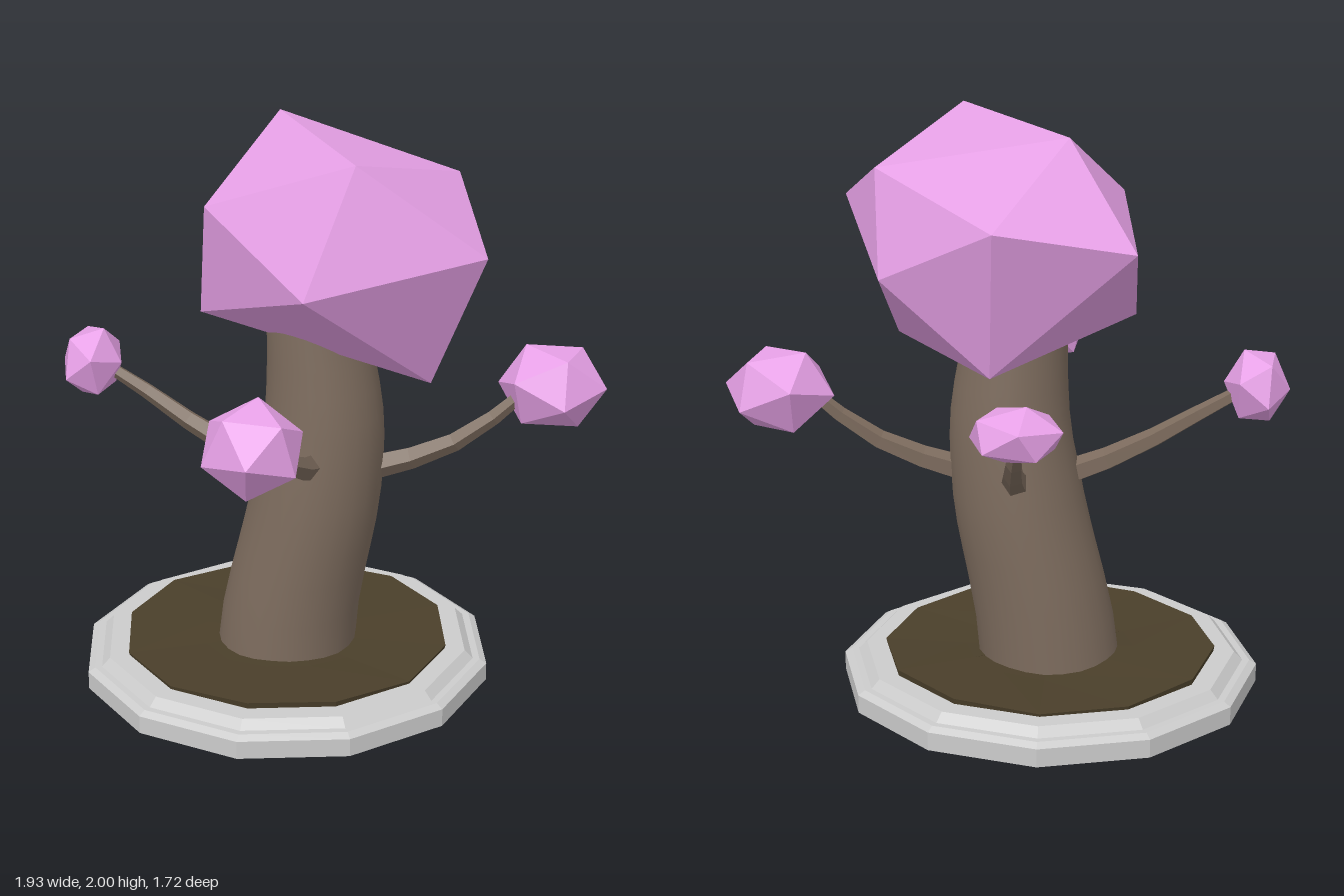
import * as THREE from 'three';
import { mergeVertices } from 'three/addons/utils/BufferGeometryUtils.js';

const BASE_X = -0.15, BASE_Z = -0.035;
const flat = (color) => new THREE.MeshStandardMaterial({ color, flatShading: true });
const stone = flat(0xcccccc), soil = flat(0x4a3f2a), blossom = flat(0xe6a0e6), bark = flat(0x7c6b5d);
const smoothBark = new THREE.MeshStandardMaterial({ color: 0x7c6b5d });
const v = (a) => new THREE.Vector3(...a);

function add(group, name, geometry, material) {
  const mesh = new THREE.Mesh(geometry, material);
  mesh.name = name;
  group.add(mesh);
  return mesh;
}

const lathe = (points, sides) =>
  new THREE.LatheGeometry(points.map(([r, y]) => new THREE.Vector2(r, y)), sides);

// Lopsided twenty-sided crown: named corners, faces wound outwards
function crownGeometry() {
  const corners = {
    A: [-0.22, 2.0, -0.29], B: [0.19, 2.0, 0.41], C: [0.44, 1.86, -0.12], D: [0.6, 1.685, 0.29],
    E: [0.07, 1.61, 0.64], F: [0.405, 1.21, 0.19], G: [-0.44, 1.34, 0.0], H: [-0.45, 1.68, -0.57],
    I: [-0.39, 1.75, 0.11], K: [0.02, 1.26, -0.55], P: [0.0, 1.77, -0.71], Q: [0.4, 1.535, -0.37],
  };
  const faces = 'ABC ACP APH AHI AIB FKG FGE FED FDQ FQK BCD CPQ CQD PHK PQK HIG HKG IBE IGE BDE';
  const centre = new THREE.Vector3(0.04, 1.63, -0.04);
  const points = [];
  for (const face of faces.split(' ')) {
    const [a, b, c] = [...face].map((k) => v(corners[k]));
    const normal = b.clone().sub(a).cross(c.clone().sub(a));
    const middle = a.clone().add(b).add(c).divideScalar(3).sub(centre);
    points.push(...(normal.dot(middle) > 0 ? [a, b, c] : [a, c, b]));
  }
  const geometry = new THREE.BufferGeometry().setFromPoints(points);
  geometry.computeVertexNormals();
  return geometry;
}

// Small blossom ball: turned icosahedron fitted to a box
function blossomGeometry(min, max, turn) {
  const geometry = new THREE.IcosahedronGeometry(1, 0);
  geometry.rotateX(turn[0]).rotateY(turn[1]).rotateZ(turn[2]);
  geometry.computeBoundingBox();
  const size = geometry.boundingBox.getSize(new THREE.Vector3());
  const mid = geometry.boundingBox.getCenter(new THREE.Vector3());
  const [lo, hi] = [v(min), v(max)];
  const scale = hi.clone().sub(lo).divide(size);
  const target = lo.add(hi).multiplyScalar(0.5);
  geometry.translate(-mid.x, -mid.y, -mid.z).scale(scale.x, scale.y, scale.z);
  return geometry.translate(target.x, target.y, target.z);
}

// Five-sided branch that thins towards its tip
function branchGeometry(path, startRadius, endRadius) {
  const curve = new THREE.CatmullRomCurve3(path.map(v));
  const rings = 4, sides = 5;
  const geometry = new THREE.TubeGeometry(curve, rings, 1, sides);
  const pos = geometry.attributes.position, p = new THREE.Vector3();
  for (let i = 0; i < pos.count; i++) {
    const t = Math.floor(i / (sides + 1)) / rings;
    const centre = curve.getPointAt(t);
    p.fromBufferAttribute(pos, i).sub(centre);
    p.multiplyScalar(THREE.MathUtils.lerp(startRadius, endRadius, t)).add(centre);
    pos.setXYZ(i, p.x, p.y, p.z);
  }
  geometry.computeVertexNormals();
  return geometry;
}

// Leaning trunk: round sections [height, centre x, radius]
function trunkGeometry() {
  const sections = [
    [0.1, -0.147, 0.257], [0.25, -0.13, 0.254], [0.4, -0.1, 0.25], [0.5, -0.077, 0.247],
    [0.6, -0.055, 0.244], [0.7, -0.037, 0.239], [0.8, -0.024, 0.232], [0.9, -0.012, 0.223],
    [1.0, -0.008, 0.214], [1.1, -0.012, 0.204], [1.2, -0.02, 0.193], [1.34, -0.033, 0.18],
  ];
  let geometry = lathe(sections.map(([y, , r]) => [r, y]), 24);
  const pos = geometry.attributes.position;
  for (let i = 0; i < pos.count; i++) {
    const cx = sections[i % sections.length][1];
    pos.setXYZ(i, pos.getX(i) * 0.97 + cx, pos.getY(i), pos.getZ(i) + BASE_Z);
  }
  geometry.deleteAttribute('uv');
  geometry.deleteAttribute('normal');
  geometry = mergeVertices(geometry, 1e-4);
  geometry.computeVertexNormals();
  return geometry;
}

export function createModel() {
  const tree = new THREE.Group();
  tree.name = 'blossomTree';

  // Stone planter ring with a stepped rim
  const rim = [[0, 0], [0.74, 0], [0.74, 0.065], [0.715, 0.08], [0.69, 0.08], [0.66, 0.11], [0.56, 0.11], [0, 0.1]];
  add(tree, 'stoneBase', lathe(rim, 12), stone).position.set(BASE_X, 0, BASE_Z);

  // Slightly uneven soil
  const earth = lathe([[0.585, 0.1], [0.59, 0.126], [0.3, 0.118], [0, 0.118]], 12);
  const pos = earth.attributes.position;
  for (let i = 0; i < pos.count; i++) {
    const angle = Math.atan2(pos.getX(i), pos.getZ(i));
    if (pos.getY(i) > 0.11) pos.setY(i, pos.getY(i) + 0.007 * Math.sin(3 * angle + 1));
  }
  add(tree, 'soil', earth, soil).position.set(BASE_X, 0, BASE_Z);

  add(tree, 'trunk', trunkGeometry(), smoothBark);
  add(tree, 'crown', crownGeometry(), blossom);

  // Four side branches, each ending in a blossom ball
  const limbs = [
    { name: 'right', path: [[-0.18, 0.76, -0.04], [-0.42, 0.86, -0.045], [-0.6, 0.97, -0.06], [-0.82, 1.1, -0.06]],
      min: [-0.97, 0.985, -0.19], max: [-0.745, 1.235, 0.085], turn: [0.3, 0.4, 0.2] },
    { name: 'left', path: [[0.14, 0.78, -0.06], [0.38, 0.86, -0.08], [0.53, 0.95, -0.1], [0.7, 1.1, -0.13]],
      min: [0.58, 0.96, -0.345], max: [0.965, 1.235, -0.01], turn: [0.9, 0.2, 0.5] },
    { name: 'front', path: [[-0.02, 0.85, 0.14], [-0.025, 0.92, 0.33], [-0.04, 0.99, 0.46], [-0.07, 1.11, 0.65]],
      min: [-0.24, 0.975, 0.53], max: [0.07, 1.285, 0.86], turn: [0.2, 1.1, 0.4] },
    { name: 'back', path: [[-0.04, 0.79, -0.22], [-0.05, 0.88, -0.43], [-0.06, 0.96, -0.58], [-0.08, 1.1, -0.72]],
      min: [-0.23, 1.035, -0.86], max: [0.075, 1.225, -0.585], turn: [0.6, 0.8, 1.0] },
  ];
  for (const { name, path, min, max, turn } of limbs) {
    add(tree, name + 'Branch', branchGeometry(path, 0.048, 0.022), bark);
    add(tree, name + 'Blossom', blossomGeometry(min, max, turn), blossom);
  }
  return tree;
}
